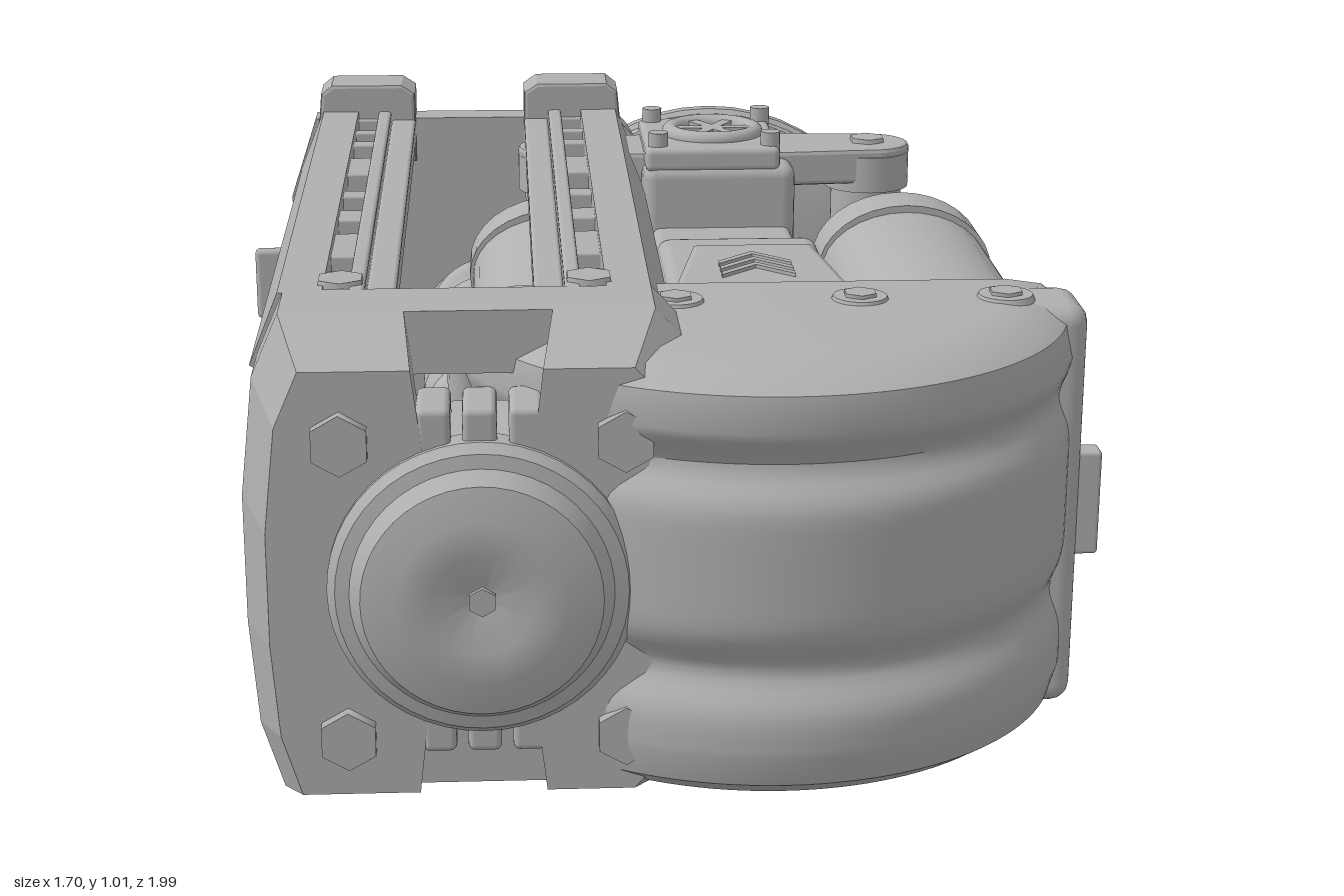
import * as THREE from 'three';
import { RoundedBoxGeometry } from 'three/addons/geometries/RoundedBoxGeometry.js';
import { toCreasedNormals } from 'three/addons/utils/BufferGeometryUtils.js';

const grey = new THREE.MeshStandardMaterial({ color: 0xb0b0b0 });
grey.name = 'grey';

function add(parent, name, geo, x = 0, y = 0, z = 0) {
  const m = new THREE.Mesh(geo, grey);
  m.name = name;
  m.position.set(x, y, z);
  parent.add(m);
  return m;
}
// box given by its min and max corners
function box(parent, name, x0, x1, y0, y1, z0, z1, r = 0.012) {
  return add(parent, name, new RoundedBoxGeometry(x1 - x0, y1 - y0, z1 - z0, 2, r),
    (x0 + x1) / 2, (y0 + y1) / 2, (z0 + z1) / 2);
}
// cylinder along z from z0 to z1
function rod(parent, name, x, y, z0, z1, r, sx = 1, sides = 32) {
  const g = new THREE.CylinderGeometry(r, r, z1 - z0, sides).rotateX(Math.PI / 2).scale(sx, 1, 1);
  return add(parent, name, g, x, y, (z0 + z1) / 2);
}
const pts = a => a.map(p => new THREE.Vector2(p[0], p[1]));
const lathe = a => toCreasedNormals(new THREE.LatheGeometry(pts(a), 48), 0.6);
const prism = (shape, depth, bevel = 0) => new THREE.ExtrudeGeometry(shape, {
  depth, bevelEnabled: bevel > 0, bevelSize: bevel, bevelThickness: bevel, bevelOffset: -bevel, bevelSegments: 2 });
const group = (parent, name) => {
  const g = new THREE.Group();
  g.name = name;
  parent.add(g);
  return g;
};

// ---- screw frame on the right side: end block, rails, end plate, screw ----
function frame(root) {
  const f = group(root, 'screwFrame');

  // hollow rear half of the front block
  const ring = new THREE.Shape(pts([[-0.68, 0.03], [0, 0.03], [0.06, 0.1], [0.06, 0.87], [0, 0.935], [-0.66, 0.935],
    [-0.71, 0.82], [-0.735, 0.6], [-0.735, 0.36], [-0.72, 0.16]]));
  ring.holes.push(new THREE.Path(pts([[-0.62, 0.14], [-0.63, 0.82], [-0.05, 0.82], [-0.05, 0.14]])));
  add(f, 'frontFrame', prism(ring, 0.15), 0, 0, 0.59);
  // tapering front half with clip notches above and below the hub
  const face = new THREE.Shape(pts([[-0.68, 0.03], [-0.44, 0.03], [-0.42, 0.2], [-0.2, 0.2], [-0.18, 0.03],
    [0, 0.03], [0.06, 0.1], [0.06, 0.87], [0, 0.935], [-0.18, 0.935], [-0.2, 0.77], [-0.42, 0.77],
    [-0.44, 0.935], [-0.66, 0.935], [-0.71, 0.82], [-0.735, 0.6], [-0.735, 0.36], [-0.72, 0.16]]));
  const g = prism(face, 0.16);
  const p = g.attributes.position;
  for (let i = 0; i < p.count; i++) {
    const k = 1 - 0.13 * p.getZ(i) / 0.16;
    p.setX(i, -0.335 + (p.getX(i) + 0.335) * k);
    p.setY(i, 0.48 + (p.getY(i) - 0.48) * k);
  }
  g.computeVertexNormals();
  add(f, 'frontBlock', g, 0, 0, 0.74);
  for (const s of [-1, 1]) {
    for (const x of [-0.39, -0.31, -0.23])
      box(f, 'clip', x - 0.03, x + 0.03, 0.485 + s * 0.27 - 0.05, 0.485 + s * 0.27 + 0.05, 0.76, 0.9);
    for (const x of [-0.55, -0.06])
      rod(f, 'faceBolt', x, 0.475 + s * 0.275, 0.86, 0.925, 0.055, 1, 6);
  }

  // round hub on the front
  const hub = lathe([[0.27, 0], [0.27, 0.05], [0.255, 0.07], [0.23, 0.075], [0.21, 0.11], [0.15, 0.125],
    [0.09, 0.13], [0.03, 0.105], [0, 0.105]]).rotateX(Math.PI / 2);
  add(f, 'hub', hub, -0.31, 0.48, 0.86);
  rod(f, 'hubNut', -0.31, 0.48, 0.94, 0.975, 0.026, 1, 6);

  // slotted rails, four by mirroring, rising slightly to the back
  const wing = new THREE.Shape(pts([[-0.725, 0.8], [-0.69, 0.78], [-0.65, 0.86], [-0.59, 0.87], [-0.59, 0.935], [-0.67, 0.935]]));
  const rails = group(f, 'rails');
  rails.rotation.x = 0.01;
  rails.position.y = 0.006;
  for (const sx of [1, -1]) for (const sy of [1, -1]) {
    const r = group(rails, 'rail');
    r.scale.set(sx, sy, 1);
    r.position.set(sx < 0 ? -0.67 : 0, sy < 0 ? 0.985 : 0, 0);
    add(r, 'railWing', prism(wing, 1.52), 0, 0, -0.92);
    box(r, 'railInner', -0.545, -0.515, 0.86, 0.935, -0.92, 0.6, 0.008);
    box(r, 'railFlange', -0.515, -0.46, 0.86, 0.915, -0.92, 0.6, 0.008);
    for (const [a, b] of [[-0.9, -0.87], [-0.77, -0.74], [-0.66, -0.62], [-0.5, -0.35], [-0.21, -0.16],
      [-0.05, 0.03], [0.13, 0.3], [0.4, 0.6]])
      box(r, 'railBridge', -0.595, -0.54, 0.87, 0.918, a, b, 0.005);
    add(r, 'railBolt', new THREE.CylinderGeometry(0.045, 0.05, 0.03, 6), -0.56, 0.928, 0.53);
    // corner foot of the end plate
    const foot = new THREE.Shape(pts([[-0.69, 0.82], [-0.46, 0.82], [-0.46, 0.98], [-0.49, 1], [-0.65, 1], [-0.675, 0.98]]));
    add(r, 'plateFoot', prism(foot, 0.1, 0.008), 0, -0.003, -0.99);
  }

  // end plate with diagonal ridges
  const plate = new THREE.Shape(pts([[-0.69, 0.06], [0, 0.06], [0.08, 0.15], [0.1, 0.35], [0.1, 0.65], [0.08, 0.84],
    [0, 0.93], [-0.69, 0.93], [-0.75, 0.75], [-0.755, 0.5], [-0.75, 0.22]]));
  add(f, 'endPlate', prism(plate, 0.08), 0, 0, -0.97);
  box(f, 'sideTab', -0.85, -0.7, 0.43, 0.6, -0.998, -0.965);
  for (let i = -2; i <= 2; i++) {
    const len = 0.94 - Math.abs(i) * 0.25;
    const s = new THREE.Shape(pts([[-0.077, 0], [0.077, 0], [0.035, 0.03], [-0.035, 0.03]]));
    const ridge = prism(s, len).translate(0, 0, -len / 2).rotateY(Math.PI / 2).rotateX(-Math.PI / 2);
    const m = add(f, 'ridge', ridge, -0.33 + i * 0.11, 0.49 - i * 0.11, -0.97);
    m.rotation.z = 0.86;
  }

  // lead screw: a cylinder displaced by a double helix
  const sg = new THREE.CylinderGeometry(0.115, 0.115, 1.16, 36, 130, true);
  const sp = sg.attributes.position;
  for (let i = 0; i < sp.count; i++) {
    const x = sp.getX(i), z = sp.getZ(i);
    const k = 1 + 0.13 * Math.tanh(1.5 * Math.sin(2 * Math.atan2(z, x) + sp.getY(i) * Math.PI * 2 / 0.155));
    sp.setX(i, x * k);
    sp.setZ(i, z * k);
  }
  sg.computeVertexNormals();
  add(f, 'screw', sg.rotateX(Math.PI / 2), -0.31, 0.48, -0.32);
  rod(f, 'screwCollar', -0.31, 0.48, 0.24, 0.29, 0.125);
  rod(f, 'screwShaft', -0.31, 0.48, 0.28, 0.88, 0.09);
}

// ---- rounded housing on the left side ----
function housing(root) {
  const h = group(root, 'housing');
  const CX = 0.22;

  // half-round cowling; two grooves fade out towards its sides
  const side = [];
  for (let i = 0; i <= 36; i++) side.push([0.58, 0.18 + i * 0.0167]);
  const cg = new THREE.LatheGeometry(pts([[0, 0.08], [0.46, 0.08], [0.53, 0.09], [0.565, 0.125], ...side,
    [0.565, 0.845], [0.53, 0.875], [0.46, 0.885], [0, 0.885]]), 64, -Math.PI / 2, Math.PI);
  const cp = cg.attributes.position;
  for (let i = 0; i < cp.count; i++) {
    const x = cp.getX(i), y = cp.getY(i), z = cp.getZ(i), r = Math.hypot(x, z);
    if (r < 0.55) continue;
    const groove = Math.exp(-(((y - 0.33) / 0.05) ** 2)) + Math.exp(-(((y - 0.71) / 0.045) ** 2));
    const k = 1 + (0.015 - 0.045 * groove) / r * Math.pow(Math.max(z / r, 0), 0.6);
    cp.setX(i, x * k);
    cp.setZ(i, z * k);
  }
  add(h, 'cowling', toCreasedNormals(cg, 0.6), CX, 0, 0.4);
  box(h, 'cowlingFlange', -0.37, 0.81, 0.085, 0.88, 0.41, 0.58, 0.04);

  // curved lip underneath
  add(h, 'lowerLip', lathe([[0, 0.115], [0.35, 0.115], [0.37, 0.085], [0.44, 0.09], [0.45, 0.13], [0.4, 0.16], [0, 0.16]]), CX, 0, 0.36);

  // centre body in steps
  box(h, 'centreBody', 0.06, 0.4, 0.17, 0.8, -0.28, 0.42, 0.03);
  box(h, 'centreNeck', 0.07, 0.38, 0.22, 0.74, -0.62, -0.27, 0.02);
  box(h, 'rearBlock', 0.05, 0.39, 0.1, 0.88, -0.9, -0.58, 0.03);
  // tapered hump with chevrons
  const hump = new THREE.Shape(pts([[0.05, -0.42], [0.39, -0.42], [0.35, -0.09], [0.11, -0.09]]));
  add(h, 'hump', prism(hump, 0.09, 0.015).rotateX(-Math.PI / 2), 0, 0.775, 0);
  for (let i = 0; i < 3; i++) {
    const z = -0.35 + i * 0.04;
    const c = new THREE.Shape(pts([[-0.07, z], [0, z + 0.07], [0.07, z], [0.07, z + 0.02], [0, z + 0.09], [-0.07, z + 0.02]]));
    add(h, 'chevron', prism(c, 0.009).rotateX(-Math.PI / 2), CX, 0.878, 0);
  }

  // twin pistons and linkage, mirrored left/right and top/bottom
  for (const sx of [1, -1]) for (const sy of [1, -1]) {
    const q = group(h, 'pistonUnit');
    q.scale.set(sx, sy, 1);
    q.position.set(CX, 0.49, 0);
    rod(q, 'cylinder', 0.37, 0.235, -0.28, 0.45, 0.125, 1.42);
    rod(q, 'cylinderCap', 0.37, 0.235, -0.38, -0.26, 0.14, 1.32);
    rod(q, 'cylinderRim', 0.37, 0.235, -0.4, -0.37, 0.12, 1.32);
    rod(q, 'pistonRod', 0.36, 0.205, -0.8, -0.35, 0.06);
    // link arm with rounded end
    const arm = new THREE.Shape();
    arm.moveTo(0.1, 0.65);
    arm.lineTo(0.36, 0.67);
    arm.absarc(0.36, 0.755, 0.085, -Math.PI / 2, Math.PI / 2);
    arm.lineTo(0.1, 0.86);
    add(q, 'linkArm', prism(arm, 0.06, 0.01).rotateX(-Math.PI / 2), 0, 0.335, 0);
    add(q, 'linkBolt', new THREE.CylinderGeometry(0.04, 0.045, 0.03, 6), 0.35, 0.4, -0.755);
    add(q, 'linkPin', new THREE.CylinderGeometry(0.08, 0.08, 0.29, 32), 0.35, 0.205, -0.755);
    add(q, 'linkKnob', new THREE.CylinderGeometry(0.095, 0.095, 0.08, 32), 0.35, 0.345, -0.755);
  }
  // bolts along the top edge
  for (const x of [-0.22, 0.05, 0.39, 0.66]) {
    add(h, 'boltCollar', new THREE.CylinderGeometry(0.05, 0.055, 0.012, 24), x, 0.885, 0.52);
    add(h, 'edgeBolt', new THREE.CylinderGeometry(0.032, 0.032, 0.016, 6), x, 0.89, 0.52);
  }

  // square pivot plates above and below
  for (const s of [1, -1]) {
    const t = group(h, 'pivot');
    t.scale.y = s;
    t.position.set(CX, 0.495, -0.75);
    box(t, 'pivotPlate', -0.165, 0.135, 0.37, 0.425, -0.165, 0.165, 0.015);
    const ring = new THREE.TorusGeometry(0.095, 0.02, 12, 36).rotateX(Math.PI / 2);
    add(t, 'pivotRing', ring, -0.005, 0.427, 0);
    for (let i = 0; i < 3; i++) {
      const spoke = add(t, 'pivotSpoke', new THREE.BoxGeometry(0.17, 0.02, 0.025), -0.005, 0.428, 0);
      spoke.rotation.y = i * Math.PI / 3;
    }
    for (const x of [-0.135, 0.115]) for (const z of [-0.13, 0.13])
      add(t, 'pivotBolt', new THREE.CylinderGeometry(0.022, 0.022, 0.05, 12), x, 0.43, z);
  }

  // side rail with fins and clevis
  box(h, 'sideBar', 0.66, 0.77, 0.42, 0.56, -0.4, 0.42, 0.03);
  box(h, 'sideBarNeck', 0.6, 0.72, 0.43, 0.56, -0.68, -0.38, 0.03);
  for (let i = 0; i < 5; i++) {
    const z = -0.24 + i * 0.1925, out = i === 4 ? 0.85 : 0.825;
    box(h, 'fin', 0.72, out, 0.385, 0.59, z - 0.025, z + 0.025, 0.008);
  }
  add(h, 'clevis', new THREE.CylinderGeometry(0.15, 0.15, 0.2, 36), 0.58, 0.5, -0.765);

  // big dished rear disc with a raised half
  const disc = lathe([[0, -0.01], [0.25, -0.02], [0.4, -0.038], [0.45, -0.035], [0.45, -0.005], [0.41, 0.04],
    [0.3, 0.07], [0, 0.08]]).rotateX(Math.PI / 2);
  add(h, 'rearDisc', disc, CX, 0.485, -0.935);
  const half = new THREE.Shape();
  half.absarc(0, 0, 0.44, -0.7, 2.44);
  half.quadraticCurveTo(0.1, 0.12, 0.337, -0.283);
  add(h, 'discCrescent', prism(half, 0.05, 0.012), CX, 0.485, -0.966);
}

export function createModel() {
  const root = new THREE.Group();
  root.name = 'mechanism';
  frame(root);
  housing(root);
  return root;
}
